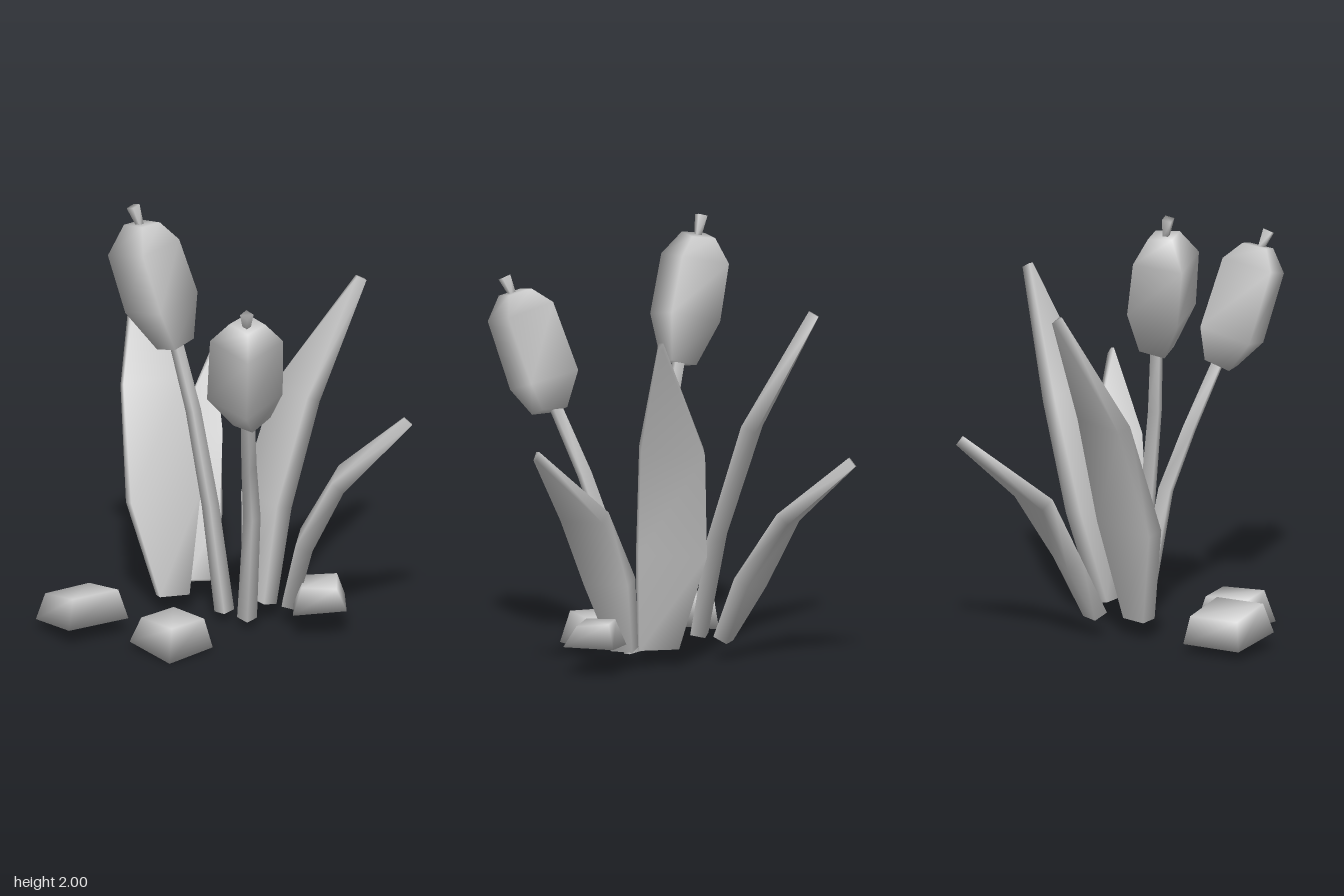
import * as THREE from 'three';

const V = (p) => new THREE.Vector3(...p);
const material = new THREE.MeshStandardMaterial({ color: 0xcccccc });

// Closed smooth solid through four-cornered rings (counter-clockwise about the path)
function loft(name, rings) {
  const positions = rings.flat().flatMap((p) => p.toArray());
  const index = [];
  for (let r = 0; r < rings.length - 1; r++) {
    for (let i = 0; i < 4; i++) {
      const a = r * 4 + i, b = r * 4 + (i + 1) % 4;
      index.push(a, b, b + 4, a, b + 4, a + 4);
    }
  }
  const t = (rings.length - 1) * 4;
  index.push(0, 2, 1, 0, 3, 2, t, t + 1, t + 2, t, t + 2, t + 3);
  const geometry = new THREE.BufferGeometry();
  geometry.setAttribute('position', new THREE.Float32BufferAttribute(positions, 3));
  geometry.setIndex(index);
  geometry.computeVertexNormals();
  const mesh = new THREE.Mesh(geometry, material);
  mesh.name = name;
  return mesh;
}

// Direction of a path at one of its points
function tangent(path, i) {
  const next = path[Math.min(i + 1, path.length - 1)];
  return next.clone().sub(path[Math.max(i - 1, 0)]).normalize();
}

// Rectangle spanned by two half-axes
function rectangle(c, u, v) {
  return [[1, 1], [-1, 1], [-1, -1], [1, -1]].map(([a, b]) =>
    c.clone().addScaledVector(u, a).addScaledVector(v, b));
}

// Square bar along a path, with a half-width at each point
function bar(name, points, halves) {
  const path = points.map(V);
  return loft(name, path.map((c, i) => {
    const n = tangent(path, i);
    const u = new THREE.Vector3(1, 0, 0).addScaledVector(n, -n.x).normalize();
    const v = n.clone().cross(u);
    return rectangle(c, u.multiplyScalar(halves[i]), v.multiplyScalar(halves[i]));
  }));
}

// Thick blade given by pairs of edge points from base to tip
function leaf(name, pairs) {
  const edges = pairs.map(([a, b]) => [V(a), V(b)]);
  const path = edges.map(([a, b]) => a.clone().lerp(b, 0.5));
  const thickness = [0.035, 0.04, 0.035, 0.025];
  return loft(name, edges.map(([a, b], i) => {
    const u = b.clone().sub(a).multiplyScalar(0.5);
    const v = tangent(path, i).cross(u).normalize().multiplyScalar(thickness[i]);
    return rectangle(path[i], u, v);
  }));
}

// Cattail: bent stalk, fat seed head and small spike
function cattail(name, stalk, head, spike) {
  const group = new THREE.Group();
  group.name = name;
  group.add(
    bar('stalk', stalk, [0.032, 0.028, 0.025, 0.022]),
    bar('seedHead', head, [0.062, 0.122, 0.118, 0.058]),
    bar('spike', spike, [0.012, 0.022]),
  );
  return group;
}

export function createModel() {
  const model = new THREE.Group();
  model.name = 'cattailPlant';

  // Cattails
  model.add(
    cattail('tallCattail',
      [[-0.05, 0.05, -0.055], [-0.075, 0.57, 0.01], [-0.13, 1.03, 0.065], [-0.21, 1.36, 0.1]],
      [[-0.21, 1.34, 0.1], [-0.26, 1.54, 0.14], [-0.33, 1.8, 0.185], [-0.345, 1.91, 0.18]],
      [[-0.345, 1.9, 0.19], [-0.372, 1.995, 0.21]]),
    cattail('shortCattail',
      [[0.09, 0.05, -0.06], [0.19, 0.58, 0.01], [0.26, 0.86, 0.1], [0.36, 1.17, 0.21]],
      [[0.385, 1.145, 0.21], [0.39, 1.28, 0.26], [0.475, 1.59, 0.335], [0.495, 1.68, 0.35]],
      [[0.5, 1.66, 0.36], [0.53, 1.745, 0.39]]),
  );

  // Leaves
  model.add(
    leaf('backLeaf', [
      [[-0.06, 0.09, -0.22], [0.12, 0.09, -0.18]],
      [[-0.155, 0.53, -0.32], [0.15, 0.55, -0.24]],
      [[-0.085, 1.03, -0.46], [0.2, 1.05, -0.38]],
      [[0.215, 1.575, -0.67], [0.235, 1.575, -0.66]]]),
    leaf('rightLeaf', [
      [[-0.32, 0.09, 0.1], [-0.25, 0.09, -0.02]],
      [[-0.44, 0.53, 0.17], [-0.29, 0.55, -0.13]],
      [[-0.58, 1.04, 0.07], [-0.43, 1.06, -0.18]],
      [[-0.755, 1.575, -0.19], [-0.745, 1.575, -0.205]]]),
    leaf('backRightLeaf', [
      [[-0.35, 0.1, -0.12], [-0.28, 0.1, -0.2]],
      [[-0.48, 0.36, -0.2], [-0.33, 0.38, -0.32]],
      [[-0.61, 0.67, -0.29], [-0.47, 0.69, -0.47]],
      [[-0.735, 0.97, -0.665], [-0.725, 0.97, -0.675]]]),
    leaf('backLeftLeaf', [
      [[0.17, 0.1, -0.26], [0.24, 0.1, -0.18]],
      [[0.22, 0.43, -0.33], [0.36, 0.42, -0.15]],
      [[0.38, 0.75, -0.4], [0.51, 0.74, -0.22]],
      [[0.74, 1.07, -0.445], [0.75, 1.07, -0.435]]]),
  );

  // Stones: uneven four-sided blocks, lower then upper corners
  const stones = {
    frontRightStone: [
      [[-0.515, 0.045, 0.33], [-0.59, 0.045, 0.62], [-0.305, 0.08, 0.695], [-0.23, 0.08, 0.385]],
      [[-0.505, 0.175, 0.36], [-0.55, 0.175, 0.6], [-0.325, 0.215, 0.65], [-0.27, 0.215, 0.41]]],
    frontStone: [
      [[-0.065, 0.05, 0.25], [-0.085, 0.04, 0.525], [0.185, 0.005, 0.54], [0.2, 0.02, 0.275]],
      [[-0.045, 0.155, 0.28], [-0.05, 0.155, 0.485], [0.155, 0.155, 0.495], [0.165, 0.155, 0.295]]],
    backStone: [
      [[0.355, 0.14, -0.425], [0.2, 0.13, -0.25], [0.36, 0.12, -0.085], [0.53, 0.14, -0.26]],
      [[0.355, 0.25, -0.375], [0.26, 0.25, -0.25], [0.36, 0.24, -0.14], [0.465, 0.23, -0.26]]],
  };
  for (const [name, rings] of Object.entries(stones)) {
    model.add(loft(name, rings.map((ring) => ring.map(V))));
  }
  return model;
}
